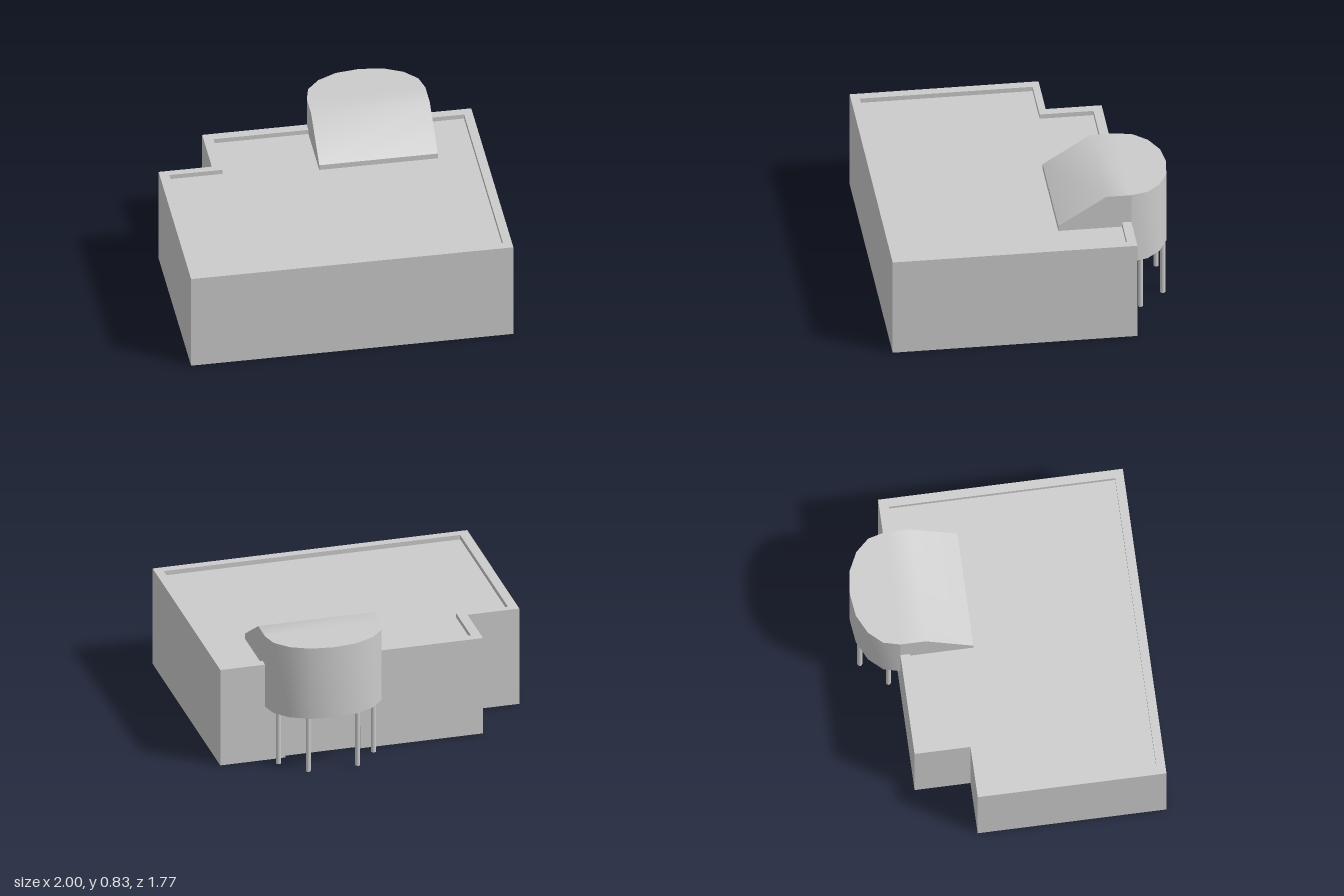
import * as THREE from 'three';
import { toCreasedNormals } from 'three/addons/utils/BufferGeometryUtils.js';

const material = new THREE.MeshStandardMaterial({ color: 0xcccccc, side: THREE.DoubleSide });

// Heights
const WALL = 0.645, ROOF = 0.615, BAY_BASE = 0.36, BAY_TOP = 0.835;
const BACK = -0.625;

// Footprints as [x, z]
const outer = [[1, BACK], [1, 0.885], [-1, 0.885], [-1, -0.28], [-0.67, -0.28], [-0.67, BACK]];
const inner = [[0.945, -0.567], [0.945, 0.83], [-0.94, 0.83], [-0.94, -0.235], [-0.61, -0.235], [-0.61, -0.567]];

const toShape = (pts) => new THREE.Shape(pts.map(([x, y]) => new THREE.Vector2(x, y)));
const planShape = (pts) => toShape(pts.map(([x, z]) => [x, -z]));

export function createModel() {
  const group = new THREE.Group();

  const add = (name, geometry, parent = group) => {
    const mesh = new THREE.Mesh(geometry, material);
    mesh.name = name;
    parent.add(mesh);
    return mesh;
  };

  // Horizontal sheet from a footprint shape
  const sheet = (name, shape, y) =>
    add(name, new THREE.ShapeGeometry(shape).rotateX(-Math.PI / 2).translate(0, y, 0));

  // Upright thin panels following a line of [x, z] points
  const panels = (name, pts, y0, y1) => {
    const run = new THREE.Group();
    run.name = name;
    for (let i = 0; i < pts.length - 1; i++) {
      const [ax, az] = pts[i], [bx, bz] = pts[i + 1];
      const geo = new THREE.PlaneGeometry(Math.hypot(bx - ax, bz - az), y1 - y0);
      geo.rotateY(Math.atan2(bz - az, ax - bx));
      geo.translate((ax + bx) / 2, (y0 + y1) / 2, (az + bz) / 2);
      add(name + 'Panel', geo, run);
    }
    group.add(run);
  };

  // Outer walls, open underneath
  panels('wall', outer, 0, WALL);

  // Back wall with a low recessed entrance
  const [e0, e1, eh, ez] = [0.11, 0.587, 0.15, BACK + 0.025];
  const backWall = toShape([[-0.67, 0], [e0, 0], [e0, eh], [e1, eh], [e1, 0], [1, 0], [1, WALL], [-0.67, WALL]]);
  add('backWall', new THREE.ShapeGeometry(backWall).translate(0, 0, BACK));
  panels('entranceRecess', [[e0, BACK], [e0, ez], [e1, ez], [e1, BACK]], 0, eh);
  sheet('entranceLintel', planShape([[e0, BACK], [e1, BACK], [e1, ez], [e0, ez]]), eh);

  // Parapet cap, its inner faces and the sunken roof
  const cap = planShape(outer);
  cap.holes.push(planShape(inner));
  sheet('parapetCap', cap, WALL);
  panels('parapetInside', [...inner, inner[0]], ROOF, WALL);
  sheet('roof', planShape(inner), ROOF);

  // Rounded bay hanging off the back wall
  const cx = 0.347, half = 0.368;
  const curve = [[half, BACK], [0.342, -0.728], [0.265, -0.812], [0.146, -0.87], [0, -0.888]];
  const arc = [...curve, ...curve.slice(0, -1).reverse().map(([x, z]) => [-x, z])];
  const bay = new THREE.ExtrudeGeometry(planShape(arc), { depth: BAY_TOP - BAY_BASE, bevelEnabled: false });
  bay.rotateX(-Math.PI / 2).translate(cx, BAY_BASE, 0);
  add('bay', toCreasedNormals(bay, 0.6));

  // Sloped head of the bay resting on the roof
  const side = toShape([[BACK, ROOF], [-0.175, ROOF], [-0.175, 0.65], [-0.47, BAY_TOP], [BACK, BAY_TOP]]);
  const head = new THREE.ExtrudeGeometry(side, { depth: half * 2, bevelEnabled: false });
  head.rotateY(-Math.PI / 2).translate(cx + half, 0, 0);
  add('bayHead', toCreasedNormals(head, 0.65));

  // Slim posts under the bay
  for (const s of [-1, 1]) {
    for (const [x, z] of [[0.302, -0.69], [0.157, -0.847]]) {
      const post = add('post', new THREE.CylinderGeometry(0.016, 0.016, BAY_BASE, 8));
      post.position.set(cx + s * x, BAY_BASE / 2, z);
    }
  }

  return group;
}
